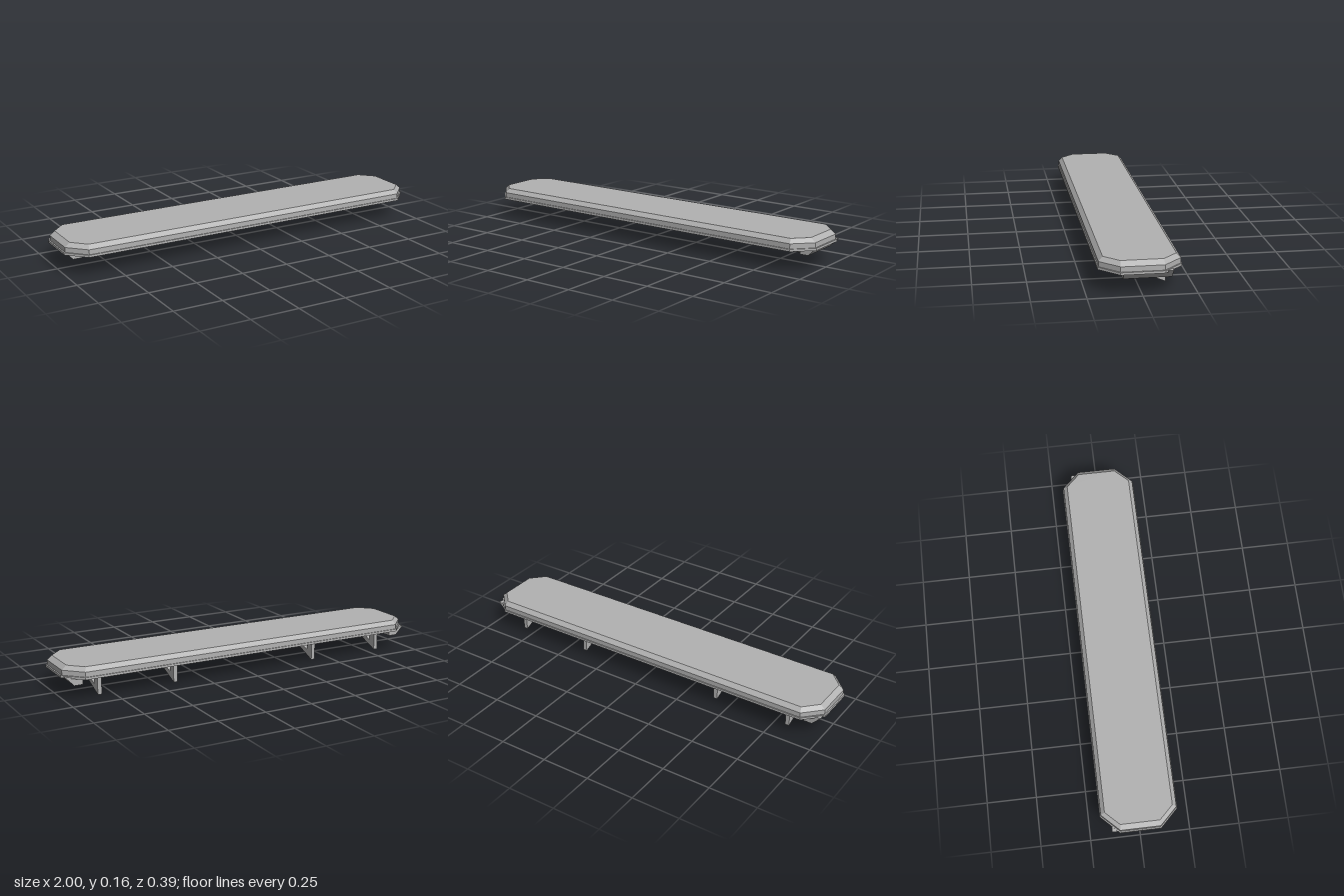
import * as THREE from 'three';

// Octagonal outline: half length, half depth, and where the corner cuts start
function octagon(hx, hz, cx, cz) {
  return [[hx, cz], [hx, -cz], [cx, -hz], [-cx, -hz], [-hx, -cz], [-hx, cz], [-cx, hz], [cx, hz]];
}

// Flat-shaded solid through stacked outlines, capped at both ends
function loft(sections) {
  const pos = [];
  const tri = (...pts) => pts.forEach((p) => pos.push(...p));
  const rings = sections.map(([y, o]) => o.map(([x, z]) => [x, y, z]));
  const n = rings[0].length;
  for (let r = 0; r < rings.length - 1; r++) {
    for (let i = 0; i < n; i++) {
      const j = (i + 1) % n;
      const [a, b, c, d] = [rings[r][i], rings[r][j], rings[r + 1][j], rings[r + 1][i]];
      tri(a, b, c);
      tri(a, c, d);
    }
  }
  const low = rings[0], high = rings[rings.length - 1];
  for (let i = 1; i < n - 1; i++) {
    tri(low[0], low[i + 1], low[i]);
    tri(high[0], high[i], high[i + 1]);
  }
  const g = new THREE.BufferGeometry();
  g.setAttribute('position', new THREE.Float32BufferAttribute(pos, 3));
  g.computeVertexNormals();
  return g;
}

// Centred extrusion of a polygon along z
function prism(points, depth) {
  const shape = new THREE.Shape(points.map(([x, y]) => new THREE.Vector2(x, y)));
  return new THREE.ExtrudeGeometry(shape, { depth, bevelEnabled: false }).translate(0, 0, -depth / 2);
}

export function createModel() {
  const model = new THREE.Group();
  const grey = new THREE.MeshStandardMaterial({ color: 0xb2b2b2 });
  grey.name = 'grey';
  const add = (name, geometry) => {
    const mesh = new THREE.Mesh(geometry, grey);
    mesh.name = name;
    model.add(mesh);
    return mesh;
  };

  // Thin rim under the slab, then the slab with its bevelled top
  const rim = octagon(1, 0.193, 0.91, 0.102);
  add('rim', loft([[0.103, rim], [0.115, rim]]));
  const slab = octagon(0.993, 0.188, 0.907, 0.1);
  add('shelfSlab', loft([[0.115, slab], [0.14, slab], [0.161, octagon(0.968, 0.168, 0.9, 0.098)]]));

  // Angled brackets: an upright at the back and a strut rising to the front
  const bracket = prism([
    [0.133, 0.104], [0.064, 0.104], [-0.093, 0.045], [-0.093, 0.104], [-0.134, 0.104], [-0.134, 0],
  ], 0.021).rotateY(-Math.PI / 2);
  for (const x of [-0.816, -0.408, 0.408, 0.816]) add('bracket', bracket).position.x = x;

  // Wedge-sided end blocks
  const block = prism([[0.903, 0.066], [0.948, 0.066], [0.992, 0.112], [0.903, 0.112]], 0.223);
  for (const side of [1, -1]) {
    const mesh = add(side > 0 ? 'leftEndBlock' : 'rightEndBlock', block);
    mesh.rotation.y = side > 0 ? 0 : Math.PI;
    mesh.position.z = -0.0285;
  }
  return model;
}
